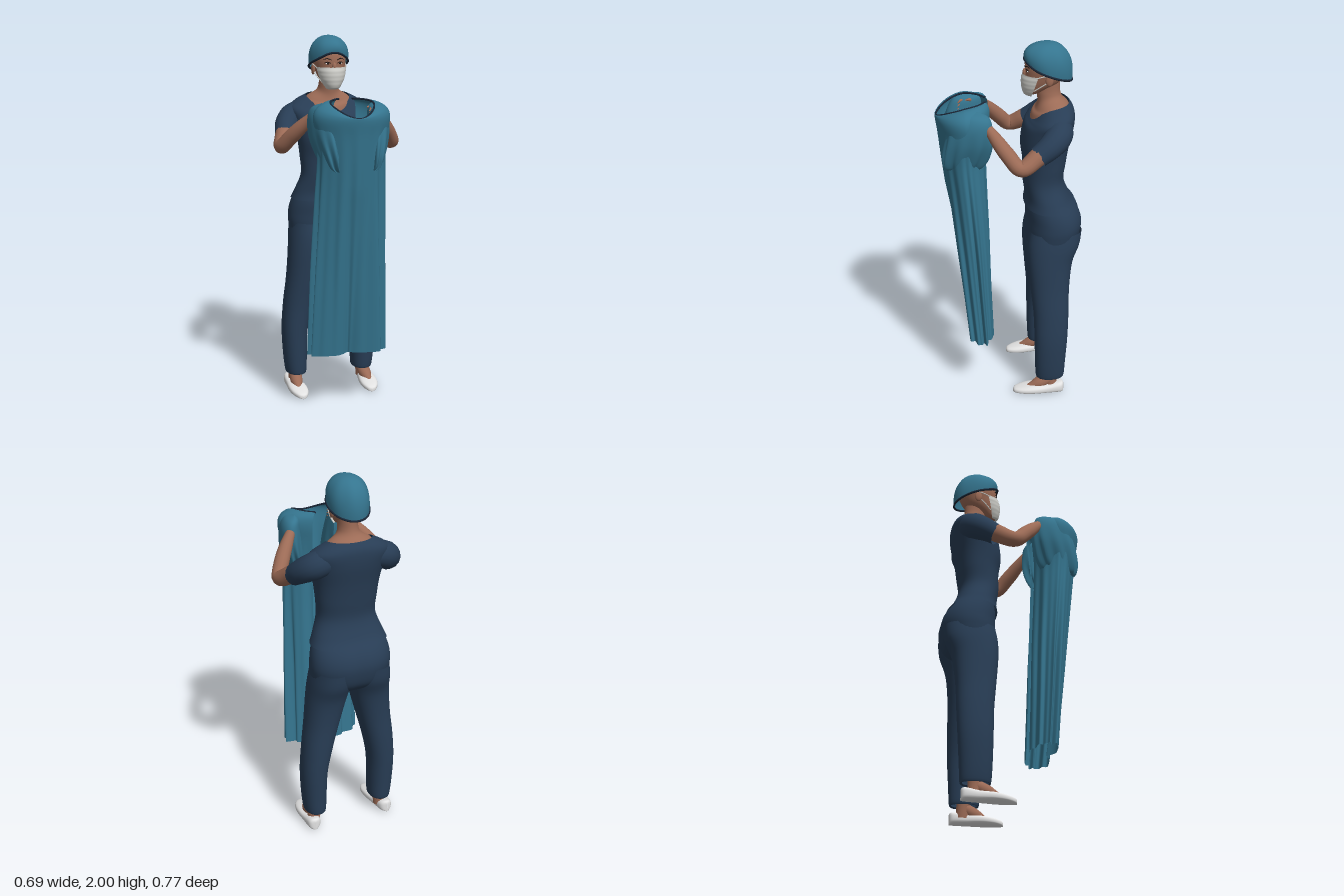
import * as THREE from 'three';
import { mergeVertices } from 'three/addons/utils/BufferGeometryUtils.js';

const paint = (name, color, side = THREE.FrontSide) => {
  const m = new THREE.MeshStandardMaterial({ color, side });
  m.name = name;
  return m;
};

// Smooth interpolation through a list of rows, t in 0..1
function sample(rows, t) {
  const f = t * (rows.length - 1), i = Math.min(Math.floor(f), rows.length - 2), k = f - i;
  const at = (j) => rows[Math.max(0, Math.min(rows.length - 1, j))];
  return rows[i].map((_, c) => {
    const [p, q, r, s] = [at(i - 1)[c], at(i)[c], at(i + 1)[c], at(i + 2)[c]];
    return q + 0.5 * k * (r - p + k * (2 * p - 5 * q + 4 * r - s + k * (3 * (q - r) + s - p)));
  });
}

// Grid surface from a rule (u, v) -> [x, y, z], smooth and welded
function surface(fn, nu, nv) {
  const pos = [], idx = [];
  for (let j = 0; j <= nv; j++) for (let i = 0; i <= nu; i++) pos.push(...fn(i / nu, j / nv));
  for (let j = 0; j < nv; j++) for (let i = 0; i < nu; i++) {
    const a = j * (nu + 1) + i, b = a + 1, c = a + nu + 1, d = c + 1;
    idx.push(a, b, d, a, d, c);
  }
  let g = new THREE.BufferGeometry();
  g.setAttribute('position', new THREE.Float32BufferAttribute(pos, 3));
  g.setIndex(idx);
  g = mergeVertices(g, 1e-5);
  g.computeVertexNormals();
  return g;
}

const spow = (x, e) => Math.sign(x) * Math.pow(Math.abs(x), e);

// Rule for stacked oval rings; row = [y, centre x, half width, front z, back z, front drop]
function ringRule(rows, { from = -Math.PI, to = Math.PI, p = 2, skew = 0, fold = () => 0 } = {}) {
  return (u, v) => {
    const [y, cx, hw, zf, zb, drop] = sample(rows, v);
    const a = from + (to - from) * u, k = 1 + fold(a, y);
    const dx = Math.max(hw, 0) * spow(Math.sin(a), 2 / p) * k;
    const z = (zf + zb) / 2 + (zf - zb) / 2 * spow(Math.cos(a), 2 / p) * k + skew * dx;
    return [cx + dx, y - (drop || 0) * ((1 + Math.cos(a)) / 2) ** 3, z];
  };
}
const loft = (rows, opt = {}) => surface(ringRule(rows, opt), opt.n || 48, opt.m || 36);

// Tube along points with a changing radius
function tube(points, radii, seg = 24, sides = 16) {
  const curve = new THREE.CatmullRomCurve3(points.map((q) => new THREE.Vector3(...q)));
  const g = new THREE.TubeGeometry(curve, seg, 1, sides);
  const pos = g.attributes.position, v = new THREE.Vector3();
  for (let i = 0; i <= seg; i++) {
    const c = curve.getPointAt(i / seg), r = sample(radii.map((x) => [x]), i / seg)[0];
    for (let j = 0; j <= sides; j++) {
      const k = i * (sides + 1) + j;
      v.fromBufferAttribute(pos, k).sub(c).multiplyScalar(r).add(c);
      pos.setXYZ(k, v.x, v.y, v.z);
    }
  }
  g.deleteAttribute('uv');
  g.deleteAttribute('normal');
  const out = mergeVertices(g, 1e-5);
  out.computeVertexNormals();
  return out;
}

export function createModel() {
  const root = new THREE.Group();
  root.name = 'figureHoldingGown';
  const teal = paint('teal cloth', 0x35758f, THREE.DoubleSide);
  const navy = paint('navy scrubs', 0x283d55, THREE.DoubleSide);
  const trim = paint('dark trim', 0x1a2636);
  const skin = paint('skin', 0x9c6b56);
  const white = paint('shoe white', 0xe2e2e2);
  const maskMat = paint('mask grey', 0xcfcfca, THREE.DoubleSide);
  const dark = paint('brow and eye dark', 0x231a18);
  const add = (name, geo, mat) => {
    const m = new THREE.Mesh(geo, mat);
    m.name = name;
    root.add(m);
    return m;
  };
  const blob = (name, mat, at, size) => {
    const m = add(name, new THREE.SphereGeometry(1, 20, 14), mat);
    m.position.set(...at);
    m.scale.set(...size);
    return m;
  };

  // Head, neck and upper chest
  add('head', loft([[1.724, 0, 0, -0.1, -0.12], [1.729, 0, 0.028, -0.083, -0.15], [1.755, 0, 0.05, -0.076, -0.2],
    [1.79, 0, 0.069, -0.076, -0.258], [1.83, 0, 0.081, -0.08, -0.285], [1.88, 0, 0.09, -0.08, -0.3],
    [1.93, 0, 0.08, -0.095, -0.29], [1.97, 0, 0.03, -0.15, -0.23]]), skin);
  add('neckAndChest', loft([[1.56, 0, 0.12, -0.1, -0.31, 0], [1.64, 0, 0.13, -0.115, -0.315, 0.02], [1.675, 0, 0.113, -0.135, -0.304, 0.03],
    [1.705, 0, 0.064, -0.145, -0.275, 0.02], [1.74, 0, 0.051, -0.14, -0.262, 0], [1.8, 0, 0.05, -0.135, -0.26, 0]]), skin);
  blob('nose', skin, [0, 1.84, -0.08], [0.012, 0.025, 0.014]);

  // Cap with a slanted rim, softly gathered and fuller above the rim
  const cap = (u, v) => {
    const a = (u * 2 - 1) * Math.PI, f = v * Math.PI / 2;
    const rim = 1.847 + 0.047 * Math.cos(a) + 0.022 * Math.max(0, Math.cos(a)) ** 4;
    const r = Math.pow(Math.cos(f), 0.8) * (0.945 + 0.085 * Math.sin(2 * f)) * (1 + 0.014 * Math.sin(7 * a) * Math.sin(2 * f));
    return [0.111 * r * Math.sin(a), rim + (2 - rim) * Math.sin(f), -0.198 + 0.131 * r * Math.cos(a)];
  };
  add('cap', surface(cap, 48, 20), teal);
  const rimPts = Array.from({ length: 33 }, (_, i) => cap(i / 32, 0));
  add('capRim', tube(rimPts, [0.006, 0.006], 64, 8), trim);

  // Face mask with shallow pleats
  add('mask', loft([[1.72, 0, 0.034, -0.085, -0.15], [1.732, 0, 0.045, -0.07, -0.18], [1.77, 0, 0.068, -0.06, -0.22],
    [1.81, 0, 0.081, -0.059, -0.25], [1.838, 0, 0.086, -0.067, -0.26]],
  { from: -1.32, to: 1.32, n: 28, fold: (a, y) => 0.005 * Math.sin(y * 260) }), maskMat);

  // Shirt
  add('shirt', loft([[1.11, 0, 0.209, -0.076, -0.353, 0], [1.16, 0, 0.19, -0.082, -0.318, 0], [1.25, 0, 0.16, -0.07, -0.287, 0],
    [1.35, 0, 0.165, -0.07, -0.297, 0], [1.45, 0, 0.178, -0.058, -0.312, 0], [1.55, 0, 0.2, -0.075, -0.332, 0],
    [1.615, 0, 0.214, -0.1, -0.337, 0.03], [1.654, 0, 0.178, -0.115, -0.33, 0.055], [1.684, 0, 0.12, -0.125, -0.308, 0.075]],
  { p: 2.25, m: 48 }), navy);

  // Trousers: hips, then legs below
  add('trouserHips', loft([[0.83, 0, 0, -0.2, -0.24], [0.85, 0, 0.12, -0.11, -0.31], [0.9, 0, 0.2, -0.088, -0.362],
    [0.97, 0, 0.219, -0.086, -0.385], [1.03, 0, 0.219, -0.088, -0.386], [1.09, 0, 0.207, -0.087, -0.362],
    [1.16, 0, 0.18, -0.095, -0.305]], { p: 2.2, fold: (a) => -0.05 * Math.exp(-((Math.abs(a) - Math.PI) ** 2) * 40) }), navy);

  for (const s of [1, -1]) {
    const side = s > 0 ? 'left' : 'right';
    const at = (...pts) => pts.map(([x, y, z]) => [s * x, y, z]);
    const rows = (list) => list.map(([y, cx, ...rest]) => [y, s * cx, ...rest]);

    add(side + 'TrouserLeg', loft(rows([[0.1, 0.195, 0.045, -0.14, -0.275], [0.102, 0.195, 0.058, -0.13, -0.287], [0.2, 0.199, 0.066, -0.124, -0.293],
      [0.35, 0.199, 0.072, -0.12, -0.302], [0.5, 0.179, 0.082, -0.115, -0.308], [0.65, 0.15, 0.093, -0.1, -0.312],
      [0.8, 0.124, 0.106, -0.086, -0.33], [0.9, 0.112, 0.109, -0.086, -0.367], [0.98, 0.108, 0.1, -0.1, -0.378]]),
    { p: 2.2, n: 36 }), navy);

    // Foot and flat shoe
    add(side + 'Ankle', tube(at([0.198, 0.16, -0.21], [0.2, 0.09, -0.212], [0.203, 0.03, -0.215]), [0.04, 0.036, 0.036]), skin);
    add(side + 'Instep', tube(at([0.2, 0.085, -0.21], [0.205, 0.055, -0.15], [0.21, 0.03, -0.085]), [0.034, 0.034, 0.016]), skin);
    const shoe = [[0, 0.001, 0.014], [-0.01, 0.024, 0.028], [-0.055, 0.045, 0.04], [-0.115, 0.051, 0.05],
      [-0.19, 0.043, 0.054], [-0.255, 0.037, 0.066], [-0.278, 0.024, 0.064], [-0.285, 0.001, 0.05]];
    add(side + 'Shoe', surface((u, v) => {
      const [z, hw, h] = sample(shoe, v), a = (u * 2 - 1) * Math.PI;
      return [s * (0.202 - z * 0.06) + hw * spow(Math.sin(a), 0.75), h / 2 + h / 2 * spow(Math.cos(a), 0.75), z];
    }, 28, 28), white);

    // Shirt sleeve, arm and hand
    add(side + 'ShirtSleeve', tube(at([0.06, 1.585, -0.235], [0.14, 1.58, -0.24], [0.195, 1.56, -0.23], [0.237, 1.525, -0.185], [0.262, 1.48, -0.118]),
      [0.05, 0.068, 0.072, 0.069, 0.062, 0.056], 30), navy);
    add(side + 'Arm', tube(at([0.235, 1.535, -0.19], [0.272, 1.48, -0.11], [0.304, 1.438, -0.028],
      [0.262, 1.505, 0.04], [0.168, 1.62, 0.138], [0.14, 1.632, 0.17]),
    [0.04, 0.049, 0.045, 0.04, 0.04, 0.036, 0.027, 0.022], 48), skin);
    const palm = blob(side + 'Palm', skin, [s * 0.128, 1.632, 0.195], [0.018, 0.034, 0.042]);
    palm.rotation.y = -s * 0.6;
    for (let i = 0; i < 4; i++) {
      const y = 1.655 - i * 0.017;
      add(side + 'Finger', tube(at([0.12, y, 0.21], [0.103, y + 0.004, 0.245], [0.086, y - 0.006, 0.264]), [0.009, 0.009, 0.002], 10, 8), skin);
    }
    add(side + 'Thumb', tube(at([0.13, 1.645, 0.18], [0.1, 1.662, 0.205], [0.088, 1.664, 0.225]), [0.011, 0.01, 0.002], 10, 8), skin);

    // Ear, eye, brow and mask straps
    blob(side + 'Ear', skin, [s * 0.086, 1.822, -0.195], [0.01, 0.032, 0.02]);
    blob(side + 'EyeWhite', white, [s * 0.034, 1.858, -0.09], [0.012, 0.004, 0.006]);
    blob(side + 'Iris', dark, [s * 0.034, 1.858, -0.085], [0.006, 0.005, 0.003]);
    add(side + 'UpperLid', tube(at([0.018, 1.86, -0.083], [0.034, 1.866, -0.085], [0.05, 1.861, -0.095]), [0.002, 0.003, 0.002], 10, 6), dark);
    add(side + 'Brow', tube(at([0.015, 1.877, -0.08], [0.038, 1.885, -0.086], [0.058, 1.877, -0.1]), [0.002, 0.003, 0.001], 10, 6), dark);
    add(side + 'UpperStrap', tube(at([0.08, 1.832, -0.13], [0.087, 1.842, -0.16], [0.092, 1.85, -0.2]), [0.003, 0.003], 10, 6), maskMat);
    add(side + 'LowerStrap', tube(at([0.058, 1.757, -0.12], [0.078, 1.79, -0.16], [0.09, 1.82, -0.2]), [0.003, 0.003], 10, 6), maskMat);

    // Gathered gown sleeve, slanting back toward the outside
    add(side + 'GownSleeve', loft(rows([[1.355, 0.1, 0.022, 0.335, 0.2], [1.375, 0.113, 0.038, 0.345, 0.16], [1.43, 0.126, 0.052, 0.35, 0.128],
      [1.52, 0.143, 0.064, 0.335, 0.11], [1.61, 0.15, 0.062, 0.31, 0.11], [1.665, 0.145, 0.045, 0.28, 0.125], [1.688, 0.14, 0, 0.25, 0.17]]),
    { n: 64, skew: -s * 0.6, fold: (a, y) => 0.13 * Math.sin(9 * a + 4 * y) * Math.max(0, 1.6 - y) / 0.25 }), teal);
  }

  // Gown body, open down the back: pleats grow toward the hem, with a hollow front centre between two fuller lobes
  const bump = (a, centre, width) => Math.exp(-(((Math.abs(a) - centre) / width) ** 2));
  const pleat = (a, y) => {
    const amp = THREE.MathUtils.clamp((1.6 - y) / 0.8, 0, 1), low = THREE.MathUtils.clamp((1.25 - y) / 0.9, 0, 1);
    return amp * (0.06 * Math.sin(11 * a + 0.6 * y) + 0.04 * Math.sin(17 * a + 1.3 * y + 1) - 0.04)
      + low * (0.14 * bump(a, 0.8, 0.35) - 0.6 * bump(a, 0, 0.36));
  };
  const gownOpt = { from: -Math.PI + 0.36, to: Math.PI - 0.36, n: 160, m: 48, p: 1.75, fold: pleat };
  const gownRows = [[0.33, 0, 0.218, 0.246, 0.082, 0], [0.6, 0, 0.212, 0.275, 0.09, 0], [0.9, 0, 0.203, 0.306, 0.098, 0],
    [1.2, 0, 0.192, 0.338, 0.112, 0], [1.4, 0, 0.183, 0.362, 0.118, 0], [1.53, 0, 0.193, 0.376, 0.108, 0],
    [1.62, 0, 0.204, 0.386, 0.098, 0.02], [1.67, 0, 0.188, 0.388, 0.1, 0.045], [1.697, 0, 0.148, 0.387, 0.112, 0.065],
    [1.7, 0, 0.113, 0.382, 0.12, 0.07]];
  add('gownBody', loft(gownRows, gownOpt), teal);

  // Neck piping, also edging the top of the back opening
  const rule = ringRule(gownRows, gownOpt);
  const piping = [rule(0, 0.9), ...Array.from({ length: 41 }, (_, i) => rule(i / 40, 1)), rule(1, 0.9)];
  add('gownNeckPiping', tube(piping, [0.005, 0.005], 90, 8), trim);

  return root;
}
